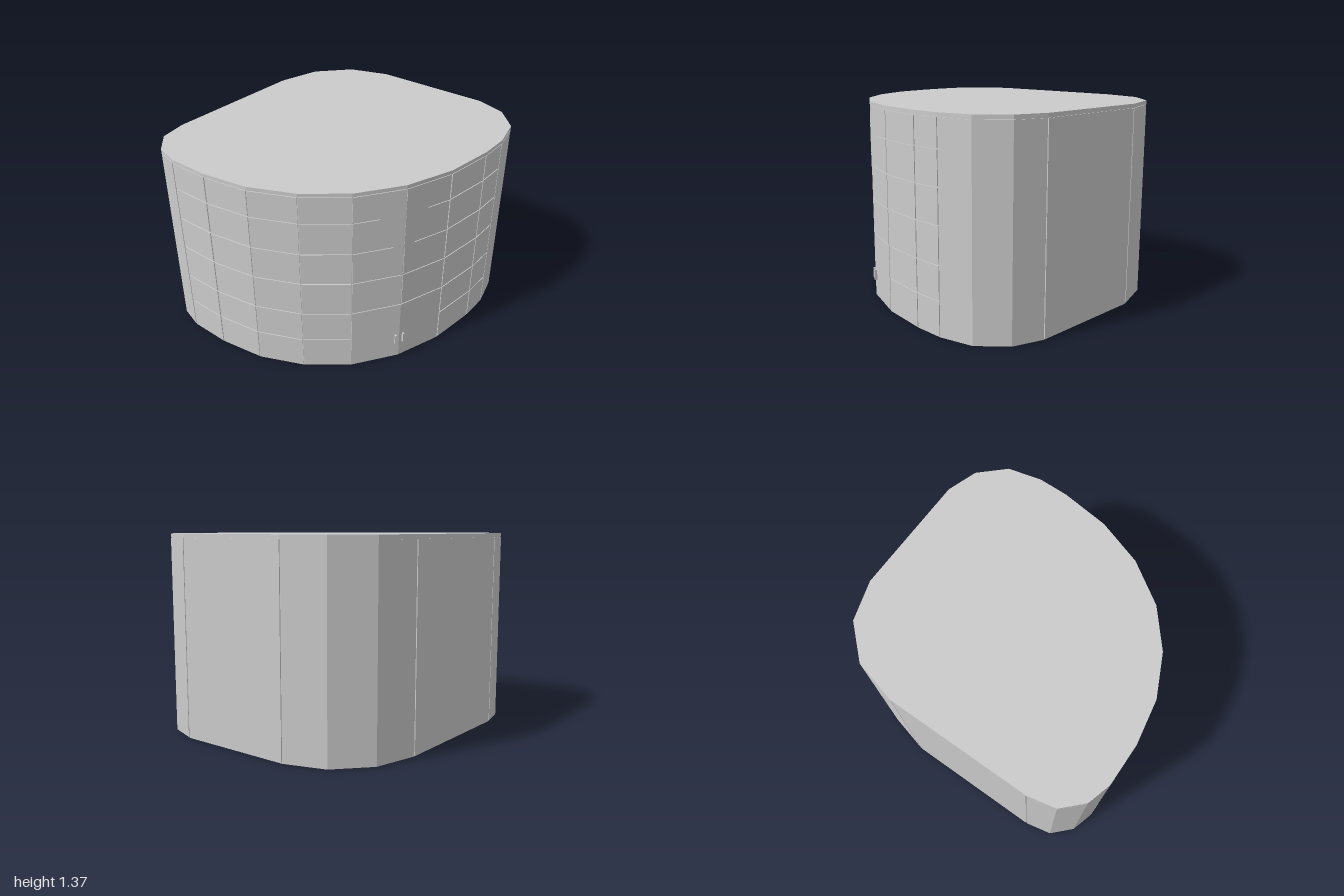
import * as THREE from 'three';

const HEIGHT = 1.37, PARAPET = 0.025, GAP = 0.008, DEPTH = 0.012;
// rounded floor plan as [x, z], starting at the back
const PLAN = [
  [-0.63, -0.915], [0.39, -0.915], [0.69, -0.84], [0.91, -0.64], [1, -0.36],
  [1, 0.49], [0.93, 0.7], [0.76, 0.86], [0.53, 0.915], [0.32, 0.915],
  [-0.02, 0.87], [-0.34, 0.755], [-0.62, 0.56], [-0.82, 0.31], [-0.95, 0.02],
  [-1, -0.29], [-1, -0.58], [-0.95, -0.745], [-0.82, -0.875],
];
const FLOORS = [0.004, 0.235, 0.46, 0.705, 0.935, 1.16, HEIGHT - PARAPET];
const GRID_START = 8, GRID_END = 15, DOOR = [10, 11], DOOR_CORNER = 11;
const SEAMS = new Set([0, 1, 4, 5, 8, 9, 10, 11, 12, 13, 14, 15, 16]);

export function createModel() {
  const group = new THREE.Group();
  const material = new THREE.MeshStandardMaterial({ color: 0xcccccc, flatShading: true });
  const thin = new THREE.MeshStandardMaterial({ color: 0xcccccc, side: THREE.DoubleSide });

  function add(name, geometry, mat = material) {
    const mesh = new THREE.Mesh(geometry, mat);
    mesh.name = name;
    group.add(mesh);
    return mesh;
  }

  // upright slab of the floor plan
  function slab(name, scale, y0, y1) {
    const shape = new THREE.Shape(PLAN.map(([x, z]) => new THREE.Vector2(x * scale, -z * scale)));
    const geometry = new THREE.ExtrudeGeometry(shape, { depth: y1 - y0, bevelEnabled: false });
    geometry.rotateX(-Math.PI / 2).translate(0, y0, 0);
    return add(name, geometry);
  }

  // position, length and outward direction of one wall side
  function side(i) {
    const [ax, az] = PLAN[i], [bx, bz] = PLAN[(i + 1) % PLAN.length];
    const length = Math.hypot(bx - ax, bz - az);
    const dir = new THREE.Vector3((bx - ax) / length, 0, (bz - az) / length);
    return { start: new THREE.Vector3(ax, 0, az), length, dir, out: new THREE.Vector3(dir.z, 0, -dir.x) };
  }

  // facing panel, with a narrow joint wherever two panels meet
  function panel(name, i, y0, y1, seamA, seamB) {
    const { start, length, dir, out } = side(i);
    const a = seamA ? GAP / 2 : 0, b = length - (seamB ? GAP / 2 : 0);
    const mesh = add(name, new THREE.BoxGeometry(b - a, y1 - y0 - GAP, DEPTH));
    mesh.position.copy(start).addScaledVector(dir, (a + b) / 2).addScaledVector(out, -DEPTH / 2);
    mesh.position.y = (y0 + y1) / 2;
    mesh.rotation.y = Math.atan2(-dir.z, dir.x);
  }

  slab('core', 0.993, 0, HEIGHT - 0.01);
  slab('roof', 1, HEIGHT - PARAPET, HEIGHT);

  PLAN.forEach((_, i) => {
    const next = (i + 1) % PLAN.length;
    const seamA = SEAMS.has(i), seamB = SEAMS.has(next);
    const top = FLOORS.length - 1;
    if (i < GRID_START || i > GRID_END) {
      panel('wallPanel', i, FLOORS[0], FLOORS[top], seamA, seamB);
      return;
    }
    const isDoor = DOOR.includes(i);
    if (isDoor) panel('door', i, FLOORS[0], FLOORS[2], i !== DOOR_CORNER, next !== DOOR_CORNER);
    for (let f = isDoor ? 2 : 0; f < top; f++) {
      panel('windowPanel', i, FLOORS[f], FLOORS[f + 1], seamA, seamB);
    }
  });

  // round emblem folded over the door corner, and a handle on each door leaf
  DOOR.forEach((i) => {
    const { start, length, dir, out } = side(i);
    const before = i !== DOOR_CORNER;
    const corner = start.clone().addScaledVector(dir, before ? length : 0);
    const turn = Math.atan2(out.x, out.z);

    const half = add('roundPlate', new THREE.CircleGeometry(0.18, 32, before ? -Math.PI / 2 : Math.PI / 2, Math.PI), thin);
    half.position.copy(corner).addScaledVector(out, 0.003);
    half.position.y = 1.1;
    half.rotation.y = turn;
    // local +x runs against the plan order, so the first side takes the right half

    const handle = add('doorHandle', new THREE.BoxGeometry(0.012, 0.075, 0.016));
    handle.position.copy(corner).addScaledVector(dir, before ? -0.028 : 0.028).addScaledVector(out, 0.008);
    handle.position.y = 0.162;
    handle.rotation.y = turn;
  });

  return group;
}
